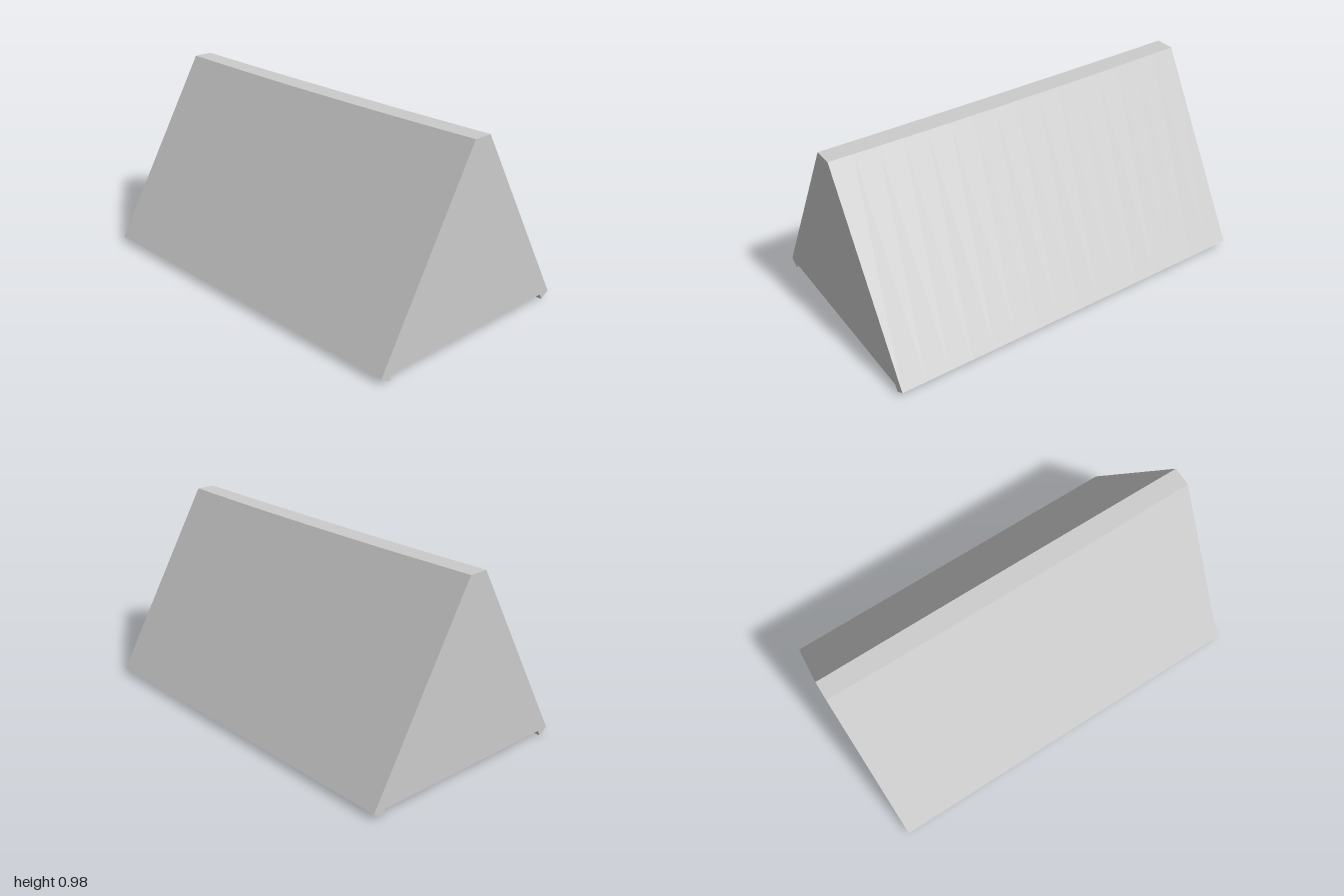
import * as THREE from 'three';

export function createModel() {
  const model = new THREE.Group();
  model.name = 'ridgeTent';

  // Half of the end profile (z, y): ridge, eave, flap foot, floor edge
  const half = [[0.05, 0.975], [0.597, 0.03], [0.547, 0], [0.53, 0.03]];
  const mirrored = half.map(([z, y]) => [-z, y]).reverse();
  const profile = new THREE.Shape([...half, ...mirrored].map(([z, y]) => new THREE.Vector2(z, y)));

  // Tent body running along x
  const body = new THREE.ExtrudeGeometry(profile, { depth: 2, steps: 16, bevelEnabled: false });
  body.rotateY(Math.PI / 2).translate(-1, 0, 0);

  // Ridge and floor sag gently towards the middle, following the wall slopes
  const p = body.attributes.position;
  for (let i = 0; i < p.count; i++) {
    const x = p.getX(i), y = p.getY(i), z = p.getZ(i);
    const sag = 1 - x * x;
    if (y > 0.9) {
      p.setY(i, y - 0.007 * sag);
      p.setZ(i, z + Math.sign(z) * 0.004 * sag);
    } else if (y > 0.02 && Math.abs(z) < 0.56) {
      p.setY(i, y - 0.018 * sag);
      p.setZ(i, z + Math.sign(z) * 0.01 * sag);
    }
  }
  body.computeVertexNormals();

  const tent = new THREE.Mesh(body, new THREE.MeshStandardMaterial({ color: 0xcccccc }));
  tent.name = 'tentBody';
  model.add(tent);
  return model;
}
